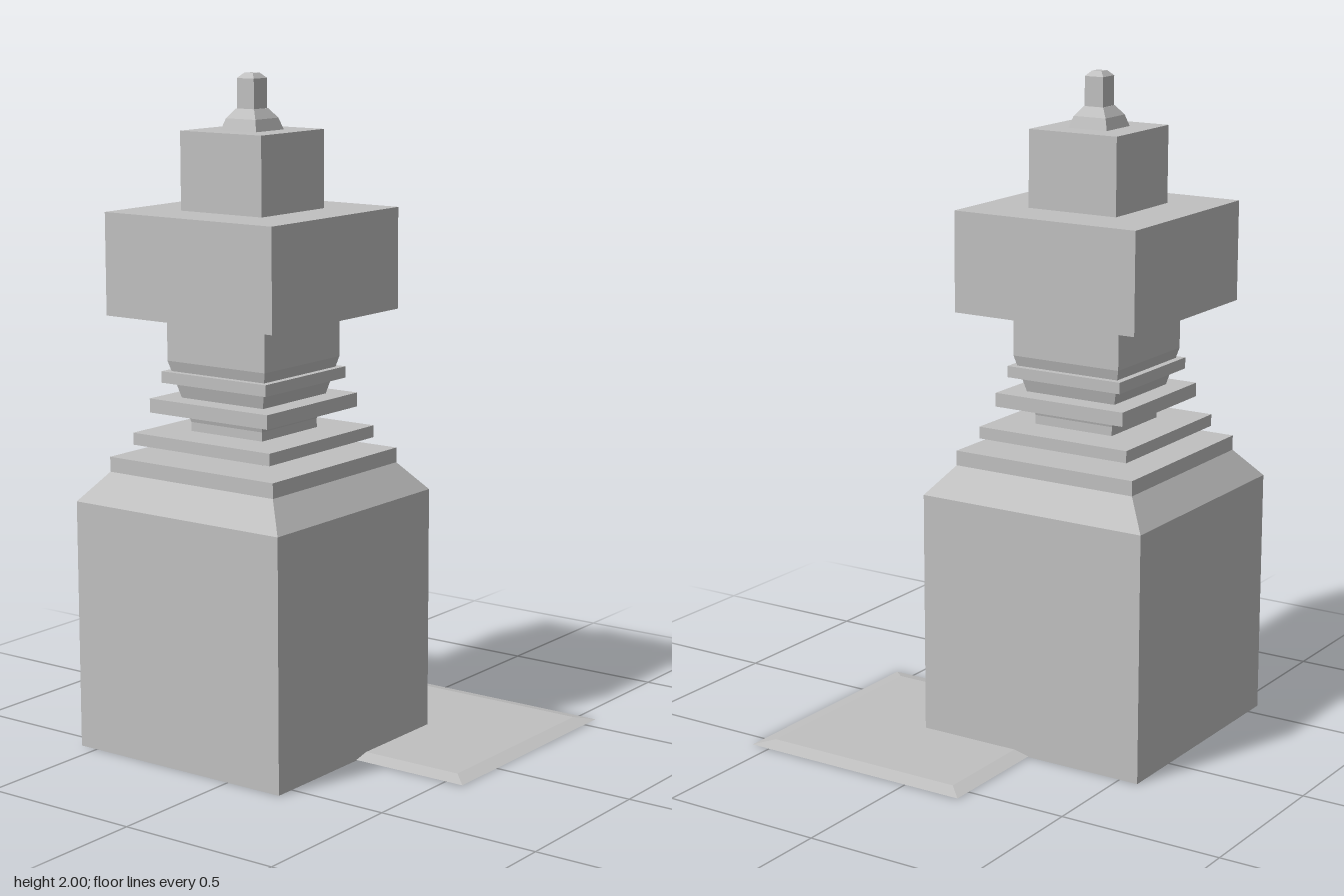
import * as THREE from 'three';

const stone = new THREE.MeshStandardMaterial({ color: 0xc0c0c0 });
stone.name = 'grey stone';

// Closed square solid from [half width, height] pairs, listed bottom to top
function squareSolid(name, profile) {
  const ends = [[0, profile[0][1]], ...profile, [0, profile[profile.length - 1][1]]];
  const points = ends.map(([half, y]) => new THREE.Vector2(half * Math.SQRT2, y));
  const geometry = new THREE.LatheGeometry(points, 4, Math.PI / 4).toNonIndexed();
  geometry.computeVertexNormals();
  const mesh = new THREE.Mesh(geometry, stone);
  mesh.name = name;
  return mesh;
}

const block = (name, half, y0, y1) => squareSolid(name, [[half, y0], [half, y1]]);

export function createModel() {
  const model = new THREE.Group();
  model.name = 'squareTower';

  const tower = new THREE.Group();
  tower.name = 'tower';
  tower.position.set(-0.187, 0, 0.187);
  model.add(tower);

  // Body with sloped shoulder and a plinth on top
  tower.add(squareSolid('body', [[0.373, 0], [0.373, 0.752], [0.302, 0.838]]));
  tower.add(block('plinth', 0.302, 0.838, 0.883));

  // Flared neck ringed by three square collars
  tower.add(squareSolid('neck', [[0.132, 0.883], [0.132, 0.98], [0.18, 1.165], [0.18, 1.3]]));
  [[0.253, 0.917, 0.953], [0.218, 1.012, 1.054], [0.193, 1.1, 1.134]].forEach(
    ([half, y0, y1], i) => tower.add(block(`collar${i + 1}`, half, y0, y1)));

  // Head and upper storey
  tower.add(block('head', 0.304, 1.303, 1.605));
  tower.add(block('upperStorey', 0.148, 1.605, 1.836));

  // Finial
  tower.add(squareSolid('finialFoot', [[0.065, 1.836], [0.054, 1.87], [0.033, 1.898]]));
  tower.add(squareSolid('finialPost', [[0.031, 1.898], [0.031, 1.985], [0.016, 2]]));

  // Thin bevelled slab on the ground behind the tower
  const slab = squareSolid('groundSlab', [[0.373, 0.002], [0.323, 0.013]]);
  slab.position.set(0.187, 0, -0.187);
  model.add(slab);

  return model;
}
